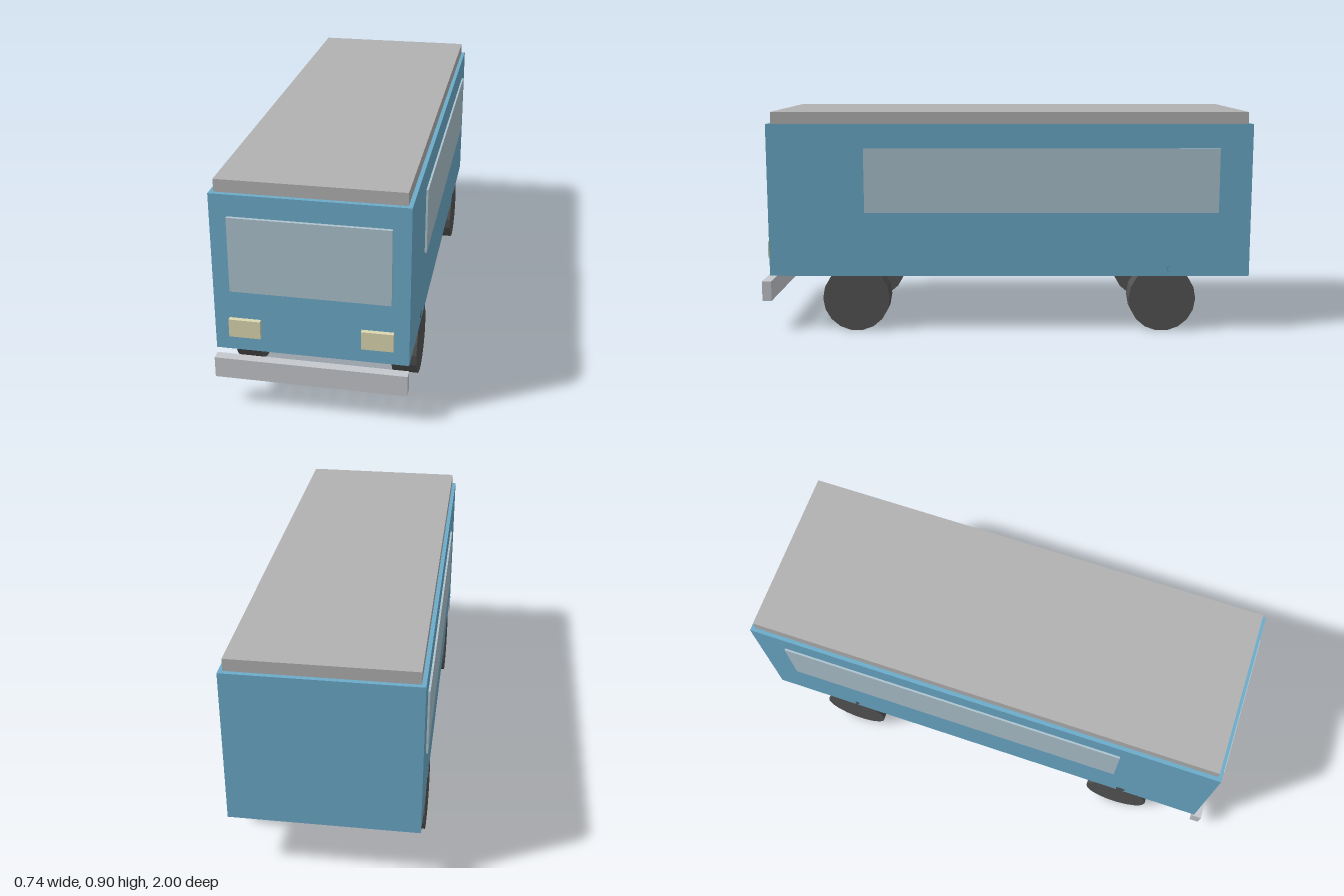
import * as THREE from 'three';

const material = (color) => new THREE.MeshStandardMaterial({ color, flatShading: true });

export function createModel() {
  const van = new THREE.Group();
  van.name = 'van';
  const paint = material(0x6cabca);
  const roofGrey = material(0xb2b2b2);
  const glass = material(0xadc4cf);
  const lamp = material(0xdcd8b2);
  const metal = material(0xc5c8cd);
  const rubber = material(0x555555);

  // Box given by its lower and upper limits on each axis
  function box(name, mat, [x0, x1], [y0, y1], [z0, z1]) {
    const mesh = new THREE.Mesh(new THREE.BoxGeometry(x1 - x0, y1 - y0, z1 - z0), mat);
    mesh.position.set((x0 + x1) / 2, (y0 + y1) / 2, (z0 + z1) / 2);
    mesh.name = name;
    van.add(mesh);
  }

  // Shell, roof slab, windscreen and bumper
  box('body', paint, [-0.36, 0.36], [0.229, 0.851], [-1, 0.965]);
  box('roof', roofGrey, [-0.344, 0.344], [0.851, 0.899], [-0.982, 0.947]);
  box('windscreen', glass, [-0.295, 0.295], [0.476, 0.768], [0.962, 0.978]);
  box('frontBumper', metal, [-0.36, 0.36], [0.123, 0.205], [0.962, 1]);

  // Wheels lie along x, outer faces flush with the body sides
  const wheelGeometry = new THREE.CylinderGeometry(0.137, 0.137, 0.098, 18).rotateZ(Math.PI / 2);

  for (const [side, s] of [['left', 1], ['right', -1]]) {
    const span = (a, b) => (s > 0 ? [a, b] : [-b, -a]);
    box(`${side}SideWindow`, glass, span(0.354, 0.368), [0.491, 0.753], [-0.868, 0.572]);
    box(`${side}Headlight`, lamp, span(0.186, 0.304), [0.291, 0.362], [0.962, 0.983]);

    for (const [end, z] of [['Front', 0.612], ['Rear', -0.646]]) {
      const wheel = new THREE.Mesh(wheelGeometry, rubber);
      wheel.position.set(s * 0.311, 0.135, z);
      wheel.name = `${side}${end}Wheel`;
      van.add(wheel);
    }
  }
  return van;
}
